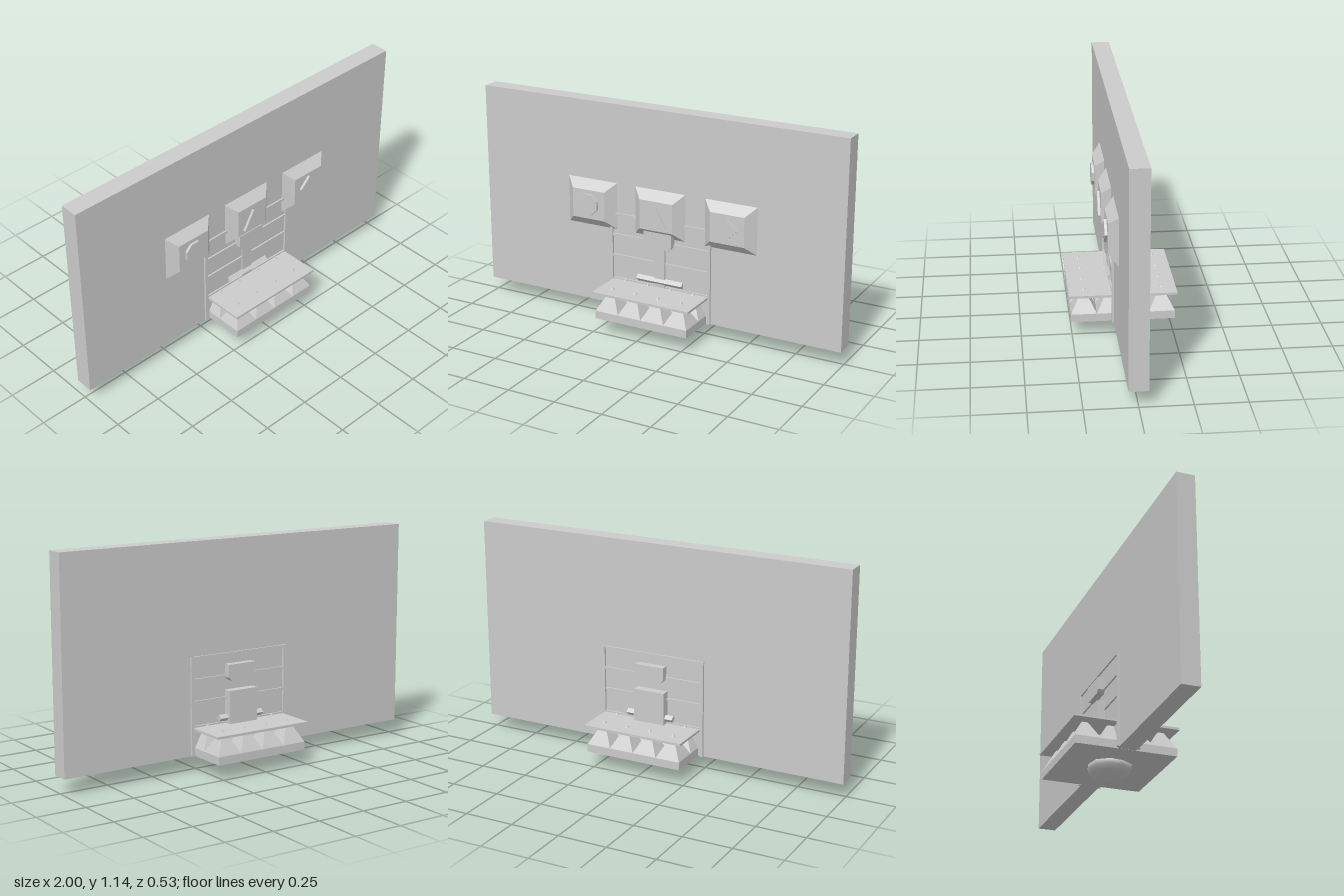
import * as THREE from 'three';

const material = new THREE.MeshStandardMaterial({ color: 0xcccccc, flatShading: true });
const smooth = new THREE.MeshStandardMaterial({ color: 0xcccccc });
const CX = 0.025; // centre line of the gate and its fittings

export function createModel() {
  const model = new THREE.Group();
  model.name = 'wallWithGate';

  const add = (name, geometry, x, y, z, parent = model, mat = material) => {
    const mesh = new THREE.Mesh(geometry, mat);
    mesh.name = name;
    mesh.position.set(x, y, z);
    parent.add(mesh);
    return mesh;
  };
  // Box given by its lower and upper limits
  const box = (name, x0, x1, y0, y1, z0, z1, parent) =>
    add(name, new THREE.BoxGeometry(x1 - x0, y1 - y0, z1 - z0),
      (x0 + x1) / 2, (y0 + y1) / 2, (z0 + z1) / 2, parent);

  // Wall slab
  box('wall', -1, 1, 0.08, 1.137, -0.046, 0.047);

  // Gate frame showing on both faces of the wall
  const gate = new THREE.Group();
  gate.name = 'gateFrame';
  model.add(gate);
  for (const x of [-0.253, 0.298]) box('gatePost', x - 0.008, x + 0.008, 0.08, 0.575, -0.057, 0.058, gate);
  for (const y of [0.57, 0.46, 0.35, 0.225])
    box('gateRail', -0.25, 0.295, y - 0.006, y + 0.006, -0.054, 0.055, gate);

  // Bevelled panels, each carrying a raised emblem
  const emblems = [
    { x: -0.363, sides: 8, r: 0.058, turn: Math.PI / 8, y: 0.612 },
    { x: 0.022, sides: 3, r: 0.07, turn: Math.PI, y: 0.593 },
    { x: 0.41, sides: 4, r: 0.058, turn: 0, y: 0.614 },
  ];
  for (const { x, sides, r, turn, y } of emblems) {
    const bevel = new THREE.BoxGeometry(0.282, 0.245, 0.046);
    const p = bevel.attributes.position;
    for (let i = 0; i < p.count; i++)
      if (p.getZ(i) > 0) p.setXY(i, p.getX(i) * 0.65, p.getY(i) * 0.62);
    bevel.computeVertexNormals();
    add('panel', bevel, x, 0.61, 0.069);
    const emblem = new THREE.CylinderGeometry(r, r, 0.018, sides);
    emblem.rotateY(turn);
    emblem.rotateX(Math.PI / 2);
    add('emblem', emblem, x, y, 0.096);
  }

  // Lock block with chamfered lower corners, passing through the wall
  const lock = new THREE.Shape();
  [[-0.078, 0.52], [-0.078, 0.455], [-0.062, 0.438], [0.062, 0.438], [0.078, 0.455], [0.078, 0.52]]
    .forEach(([x, y], i) => (i ? lock.lineTo(x, y) : lock.moveTo(x, y)));
  add('lockBlock', new THREE.ExtrudeGeometry(lock, { depth: 0.165, bevelEnabled: false }), CX, 0, -0.082);

  // Pull rod, handle bars and rear plate
  box('pullRod', -0.009, 0.053, 0.21, 0.445, 0.04, 0.056);
  for (const z of [0.052, -0.066]) {
    const bar = add('handleBar', new THREE.BoxGeometry(0.255, 0.025, 0.025), CX, 0.255, z);
    bar.rotation.x = Math.PI / 4;
  }
  box('rearPlate', -0.06, 0.105, 0.2, 0.39, -0.09, -0.045);

  // Spiked base with a floor plate that the tips pierce
  const trap = new THREE.Group();
  trap.name = 'spikeTrap';
  model.add(trap);
  box('trapBase', CX - 0.256, CX + 0.256, 0.079, 0.12, -0.256, 0.256, trap);
  box('floorPlate', CX - 0.268, CX + 0.268, 0.211, 0.223, -0.266, 0.265, trap);
  const spike = new THREE.ConeGeometry(0.064 * Math.SQRT2, 0.118, 4, 1, true);
  spike.rotateY(Math.PI / 4);
  for (let i = 0; i < 4; i++)
    for (let j = 0; j < 4; j++)
      add('spike', spike, CX + (i - 1.5) * 0.128, 0.179, (j - 1.5) * 0.128, trap);

  // Uneven boulder under the base
  const profile = [[0, 0], [0.045, 0.017], [0.095, 0.037], [0.112, 0.058], [0.117, 0.078], [0.1, 0.1]]
    .map(([x, y]) => new THREE.Vector2(x, y));
  const rock = new THREE.LatheGeometry(profile, 10);
  const q = rock.attributes.position;
  for (let i = 0; i < q.count; i++) {
    const a = Math.atan2(q.getZ(i), q.getX(i));
    const k = 1 + 0.05 * Math.sin(3 * a + q.getY(i) * 30);
    q.setX(i, q.getX(i) * k);
    q.setZ(i, q.getZ(i) * k * 0.94);
  }
  rock.computeVertexNormals();
  add('boulder', rock, 0.005, 0, -0.003, model, smooth);

  return model;
}
